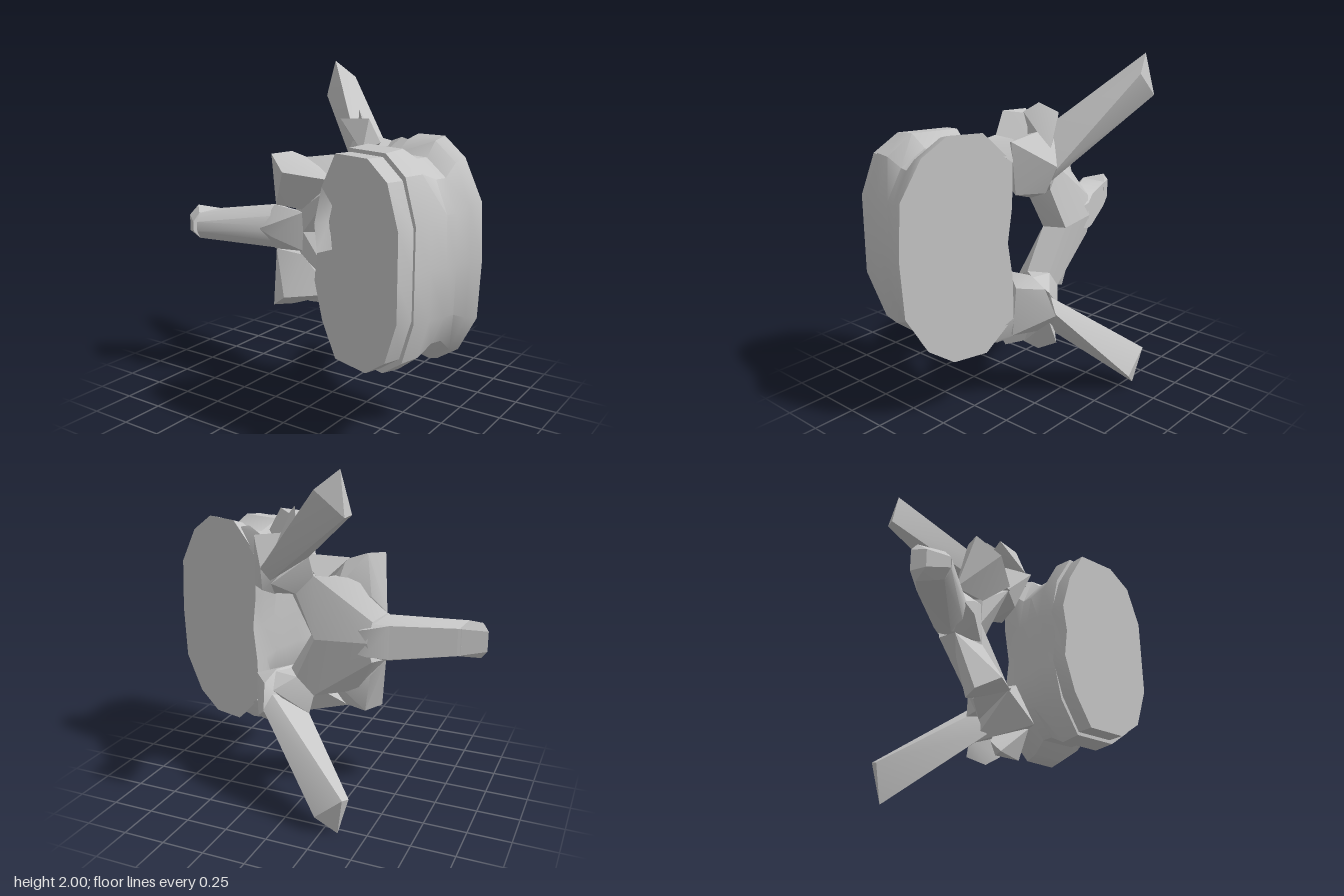
import * as THREE from 'three';
import { ConvexGeometry } from 'three/addons/geometries/ConvexGeometry.js';
import { toCreasedNormals } from 'three/addons/utils/BufferGeometryUtils.js';

const bone = new THREE.MeshStandardMaterial({ color: 0xc6c6c6, side: THREE.DoubleSide });
bone.name = 'bone grey';

// Gentle bends are smooth, stronger ones stay sharp
function add(parent, name, geometry) {
  const mesh = new THREE.Mesh(toCreasedNormals(geometry, Math.PI / 6), bone);
  mesh.name = name;
  parent.add(mesh);
}

// Faceted chunk spanning a few corner points
const chunk = (pts) => new ConvexGeometry(pts.map((p) => new THREE.Vector3(...p)));
const flip = ([x, y, z]) => [x, 2 - y, z];

// One chunk above the middle plane and its mirror below
function addPair(parent, name, pts) {
  add(parent, name + 'Upper', chunk(pts));
  add(parent, name + 'Lower', chunk(pts.map(flip)));
}

// One chunk straddling the middle plane
const addMiddle = (parent, name, pts) => add(parent, name, chunk([...pts, ...pts.map(flip)]));

// Half outlines of the drum, from the outer side round to the hollow canal side
const frontHalf = [[0.911, 0], [0.911, 0.23], [0.827, 0.46], [0.68, 0.56], [0.428, 0.56], [0.312, 0.37], [0.245, 0.16], [0.268, 0]];
const rimHalf = [[0.925, 0], [0.925, 0.25], [0.845, 0.48], [0.7, 0.58], [0.42, 0.58], [0.3, 0.39], [0.25, 0.16], [0.272, 0]];
const bellyHalf = [[0.912, 0], [0.908, 0.26], [0.835, 0.48], [0.69, 0.592], [0.42, 0.592], [0.3, 0.39], [0.25, 0.16], [0.275, 0]];
const waistHalf = [[0.905, 0], [0.895, 0.27], [0.81, 0.44], [0.67, 0.53], [0.44, 0.53], [0.3, 0.37], [0.26, 0.17], [0.285, 0]];
const shoulderHalf = [[0.922, 0], [0.908, 0.3], [0.8, 0.51], [0.65, 0.61], [0.443, 0.6], [0.28, 0.44], [0.27, 0.2], [0.295, 0]];
const backHalf = [[0.938, 0], [0.92, 0.315], [0.795, 0.53], [0.645, 0.63], [0.443, 0.625], [0.265, 0.45], [0.272, 0.2], [0.3, 0]];
const closed = (half) => [...half, ...half.slice(1, -1).map(([u, v]) => [u, -v]).reverse()];

// Wall through a list of [half outline, depth] rings, front to back
function wall(rings) {
  const loops = rings.map(([half, n]) => closed(half).map(([u, v]) => [u, v, n]));
  const pos = [];
  for (let r = 0; r < loops.length - 1; r++) {
    const a = loops[r], b = loops[r + 1];
    for (let i = 0; i < a.length; i++) {
      const j = (i + 1) % a.length;
      pos.push(...a[i], ...b[i], ...a[j], ...a[j], ...b[i], ...b[j]);
    }
  }
  const g = new THREE.BufferGeometry();
  g.setAttribute('position', new THREE.Float32BufferAttribute(pos, 3));
  return g;
}

const cap = (points) => new THREE.ShapeGeometry(new THREE.Shape(points.map((p) => new THREE.Vector2(...p))));

export function createModel() {
  const model = new THREE.Group();
  model.name = 'vertebra';

  // Drum-shaped body and disc, turned about the vertical axis
  const drum = new THREE.Group();
  drum.name = 'body';
  drum.position.y = 1;
  drum.rotation.y = -0.312;
  model.add(drum);

  add(drum, 'discWall', wall([[frontHalf, 0.316], [frontHalf, 0.215]]));
  // Disc face with a triangular notch on the canal side
  const face = closed(frontHalf);
  face.splice(6, 1, [0.585, 0.11]);
  add(drum, 'discFace', cap(face).translate(0, 0, 0.316));

  add(drum, 'bodyWall', wall([
    [rimHalf, 0.215], [bellyHalf, 0.09], [waistHalf, -0.03], [waistHalf, -0.1],
    [shoulderHalf, -0.18], [backHalf, -0.256],
  ]));
  add(drum, 'bodyFrontFace', cap(closed(rimHalf)).translate(0, 0, 0.215));
  const seenFromBack = closed(backHalf).map(([u, v]) => [-u, v]);
  add(drum, 'bodyBackFace', cap(seenFromBack).rotateY(Math.PI).translate(0, 0, -0.256));

  // Long wings pointing away to the back
  addPair(model, 'wing', [
    [-0.34, 2.0, -0.54], [-0.22, 1.9, -0.59], [-0.4, 1.78, -0.53], [-0.38, 1.77, -0.58],
    [0.04, 1.62, -0.2], [0.2, 1.42, -0.36], [0.17, 1.34, -0.3], [-0.02, 1.47, -0.2],
    [0.1, 1.54, -0.1], [0.1, 1.4, -0.15],
  ]);

  // Roots joining the wings to the body
  addPair(model, 'root', [
    [0.34, 1.56, -0.16], [0.33, 1.27, -0.18], [0.24, 1.5, 0.1], [0.17, 1.26, 0.02], [0.06, 1.33, 0.04],
    [0.04, 1.48, -0.2], [0.22, 1.28, -0.3], [0.2, 1.43, -0.36], [0.04, 1.61, -0.2], [0.2, 1.23, -0.18],
  ]);

  // Necks joining the roots to the arch
  addPair(model, 'neck', [
    [0.04, 1.48, -0.2], [-0.02, 1.47, -0.2], [-0.04, 1.36, -0.18], [0.06, 1.25, -0.2], [0.17, 1.32, -0.29],
    [0.06, 1.33, 0.04], [0.2, 1.24, -0.19], [0.14, 1.24, -0.1],
  ]);

  // Small knobs on the roots
  addPair(model, 'backKnob', [
    [0.09, 1.74, -0.14], [0.04, 1.69, -0.24], [0.15, 1.69, -0.08], [0.04, 1.58, -0.22], [0.17, 1.5, -0.1],
    [0.16, 1.5, -0.28],
  ]);
  addPair(model, 'frontKnob', [
    [0.24, 1.7, -0.01], [0.05, 1.69, -0.01], [0.31, 1.57, -0.02], [0.24, 1.52, 0.06], [0.05, 1.62, -0.08],
    [0.13, 1.68, -0.1], [0.2, 1.5, -0.14],
  ]);
  addPair(model, 'rimKnob', [
    [0.31, 1.57, -0.15], [0.4, 1.6, -0.1], [0.5, 1.58, -0.08], [0.3, 1.48, 0.0], [0.34, 1.45, -0.17],
  ]);

  // Arch closing the canal
  addPair(model, 'arch', [
    [0, 1, -0.1], [-0.06, 1, -0.22], [-0.2, 1, 0.02], [0.07, 1.33, 0.04], [0.14, 1.24, -0.1],
    [0.06, 1.25, -0.2], [-0.04, 1.36, -0.18], [-0.2, 1.15, 0.03], [-0.38, 1.12, -0.14], [-0.36, 1, -0.17],
  ]);

  // Joint blades rising from the arch, with webs behind them
  addPair(model, 'jointBlade', [
    [-0.37, 1.47, 0.1], [-0.3, 1.48, -0.01], [-0.18, 1.44, -0.04], [-0.23, 1.38, 0.18],
    [0.05, 1.34, 0.06], [-0.2, 1.14, 0.03], [-0.42, 1.14, 0.0], [-0.34, 1.24, -0.05], [-0.15, 1.28, -0.12],
  ]);
  addPair(model, 'jointWeb', [
    [-0.2, 1.45, -0.03], [0.05, 1.48, -0.16], [0.07, 1.32, 0.05], [-0.08, 1.32, -0.17], [-0.15, 1.35, 0.06],
  ]);
  addPair(model, 'jointFoot', [
    [-0.42, 1.14, 0.0], [-0.38, 1.12, -0.14], [-0.2, 1.15, 0.03], [-0.04, 1.36, -0.18],
    [-0.26, 1.34, -0.05], [0.05, 1.34, 0.04],
  ]);

  // Central spine, with a swollen tip
  addMiddle(model, 'spineBase', [
    [-0.2, 1.12, 0.02], [-0.43, 1.14, 0.0], [-0.48, 1.0, 0.1], [-0.38, 1.04, 0.1],
    [-0.35, 1.08, -0.17], [-0.47, 1.1, -0.11], [-0.2, 1.05, -0.17],
  ]);
  addMiddle(model, 'spineShaft', [
    [-0.43, 1.14, -0.02], [-0.47, 1.1, -0.11], [-0.45, 1.02, 0.09], [-0.4, 1.08, 0.04], [-0.35, 1.08, -0.16],
    [-0.84, 1.08, 0.06], [-0.84, 1.08, 0.24], [-0.83, 1.03, 0.275],
  ]);
  addMiddle(model, 'spineTip', [
    [-0.82, 1.08, 0.05], [-0.84, 1.08, 0.24], [-0.94, 1.105, 0.14], [-0.975, 1.06, 0.13],
    [-0.95, 1.05, 0.21], [-0.85, 1.03, 0.285],
  ]);

  return model;
}
